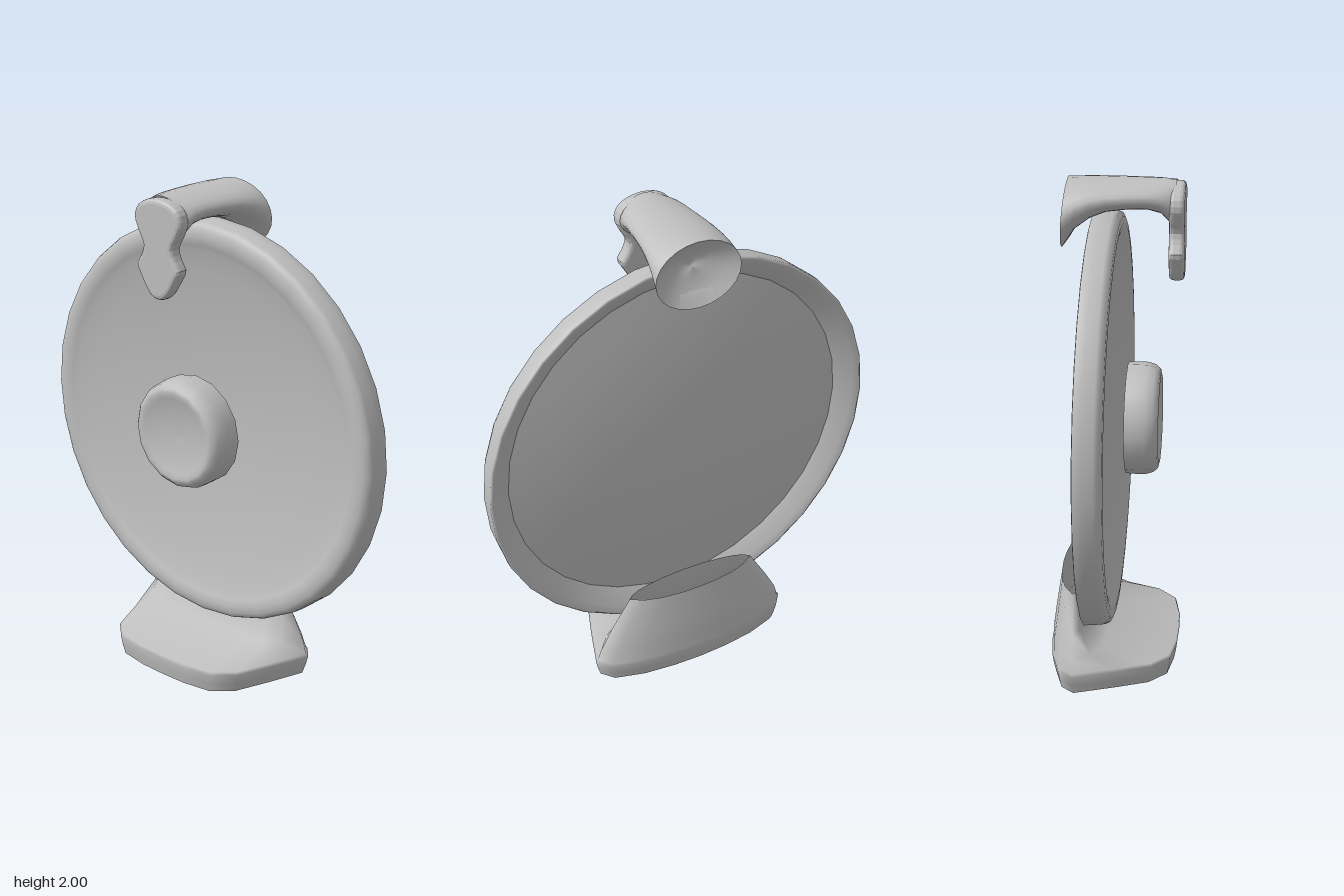
import * as THREE from 'three';

const grey = new THREE.MeshStandardMaterial({ color: 0xbfbfbf, side: THREE.DoubleSide });
grey.name = 'plain grey';

// Skin a list of closed rings, each with the same number of [x, y, z] points
function loft(rings) {
  const n = rings[0].length, index = [];
  for (let i = 0; i < rings.length - 1; i++) {
    for (let j = 0; j < n; j++) {
      const k = (j + 1) % n;
      const a = i * n + j, b = i * n + k, c = a + n, d = b + n;
      index.push(a, b, c, b, d, c);
    }
  }
  const g = new THREE.BufferGeometry();
  g.setAttribute('position', new THREE.Float32BufferAttribute(rings.flat(2), 3));
  g.setIndex(index);
  g.computeVertexNormals();
  return g;
}

// Turned part whose axis points along z, from [radius, z] points
function turned(profile, sides) {
  const pts = profile.map(([r, z]) => new THREE.Vector2(r, z));
  return new THREE.LatheGeometry(pts, sides).rotateX(Math.PI / 2);
}

// Full ring from the half outline on the +x side, front centre to back centre
function mirrorRing(half, y, scale = 1) {
  const right = half.map(([x, z]) => [x * scale, y, z * scale]);
  const left = right.slice(1, -1).reverse().map(([x, h, z]) => [-x, h, z]);
  return [...right, ...left];
}

export function createModel() {
  const model = new THREE.Group();
  const add = (name, geometry) => {
    const mesh = new THREE.Mesh(geometry, grey);
    mesh.name = name;
    model.add(mesh);
    return mesh;
  };
  const centreY = 1.027;

  // Dish: convex back, rounded rim, concave front
  const back = [], front = [];
  for (let i = 0; i <= 8; i++) {
    const r = i / 8;
    back.push([0.735 * r, -0.1 + 0.06 * r * r]);
    front.unshift([0.715 * r, -0.085 + 0.075 * r * r]);
  }
  const rim = [
    [0.735, -0.04], [0.76, -0.06], [0.8, -0.085], [0.825, -0.098], [0.835, -0.095],
    [0.833, -0.06], [0.828, -0.02], [0.82, -0.003], [0.8, 0.008], [0.77, 0.01], [0.74, 0.003],
  ];
  add('dishBack', turned(back, 32)).position.y = centreY;
  add('dishRimAndBowl', turned([...rim, ...front], 32)).position.y = centreY;

  // Centre knob with a hollowed face
  add('centreKnob', turned([
    [0.223, 0.04], [0.225, 0.08], [0.224, 0.12], [0.215, 0.15], [0.198, 0.168],
    [0.18, 0.172], [0.16, 0.165], [0.11, 0.152], [0.05, 0.145], [0, 0.143],
  ], 16)).position.y = centreY;

  // Foot: hollow shell with a low front step and a tall back, open above and below
  const plan = [[0, 0.26], [0.12, 0.257], [0.25, 0.235], [0.33, 0.16], [0.385, 0.02], [0.445, -0.15],
    [0.4, -0.205], [0.27, -0.243], [0.13, -0.26], [0, -0.265]];
  const step = [[0, -0.03], [0.11, -0.03], [0.22, -0.032], [0.3, -0.045], [0.36, -0.08], [0.42, -0.15],
    [0.37, -0.2], [0.25, -0.238], [0.12, -0.254], [0, -0.258]];
  const waist = [[0, -0.098], [0.1, -0.098], [0.2, -0.102], [0.27, -0.11], [0.325, -0.125], [0.37, -0.15],
    [0.32, -0.193], [0.22, -0.227], [0.11, -0.242], [0, -0.246]];
  const top = [[0, -0.1], [0.1, -0.104], [0.18, -0.114], [0.23, -0.125], [0.265, -0.14], [0.287, -0.158],
    [0.23, -0.192], [0.16, -0.212], [0.08, -0.222], [0, -0.225]];
  add('foot', loft([
    mirrorRing(plan, 0, 0.95),
    mirrorRing(plan, 0.04, 0.98),
    mirrorRing(plan, 0.08),
    mirrorRing(plan, 0.092, 0.98),
    mirrorRing(step, 0.142),
    mirrorRing(waist, 0.235),
    mirrorRing(top, 0.375),
  ]));

  // Clip arm over the rim: [z, half width, underside height], flaring to the back
  const sides = 24;
  const armRing = ([z, w, low]) => Array.from({ length: sides }, (_, i) => {
    const a = (i / sides) * Math.PI * 2, mid = (2 + low) / 2, half = (2 - low) / 2;
    const lean = z < -0.1 ? 0.01 * Math.sin(a) : 0;
    return [w * Math.cos(a), mid + half * Math.sin(a), z + lean];
  });
  const stations = [
    [-0.2, 0.178, 1.735], [-0.18, 0.175, 1.765], [-0.15, 0.17, 1.81], [-0.1, 0.161, 1.855],
    [-0.04, 0.151, 1.88], [0.04, 0.14, 1.89], [0.12, 0.13, 1.89], [0.17, 0.123, 1.875],
    [0.2, 0.115, 1.84], [0.225, 0.1, 1.82],
  ];
  add('clipArm', loft(stations.map(armRing)));

  // Scooped back end of the arm
  const rear = armRing(stations[0]);
  const scoop = [0, 0.35, 0.7, 1].map((t) => rear.map(([x, y, z]) => [
    x * t, 1.875 + (y - 1.875) * t, z + 0.06 * (1 - t * t),
  ]));
  add('clipScoop', loft(scoop));

  // Front tongue with a narrow neck and a pointed tip
  const edge = [[0.06, 1.98], [0.1, 1.955], [0.115, 1.91], [0.095, 1.86], [0.07, 1.81],
    [0.085, 1.765], [0.105, 1.73], [0.085, 1.69], [0.05, 1.635], [0.025, 1.614]];
  const outline = [[0, 1.99], ...edge, [0, 1.61], ...edge.slice().reverse().map(([x, y]) => [-x, y])];
  const curve = new THREE.CatmullRomCurve3(
    outline.map(([x, y]) => new THREE.Vector3(x, y, 0)), true);
  const shape = new THREE.Shape(curve.getPoints(48).slice(0, -1).map((p) => new THREE.Vector2(p.x, p.y)));
  const tongue = new THREE.ExtrudeGeometry(shape, {
    depth: 0.025, bevelEnabled: true, bevelThickness: 0.0175, bevelSize: 0.018,
    bevelOffset: -0.015, bevelSegments: 3,
  });
  tongue.translate(0, 0, 0.2175);
  add('clipTongue', tongue);

  return model;
}
